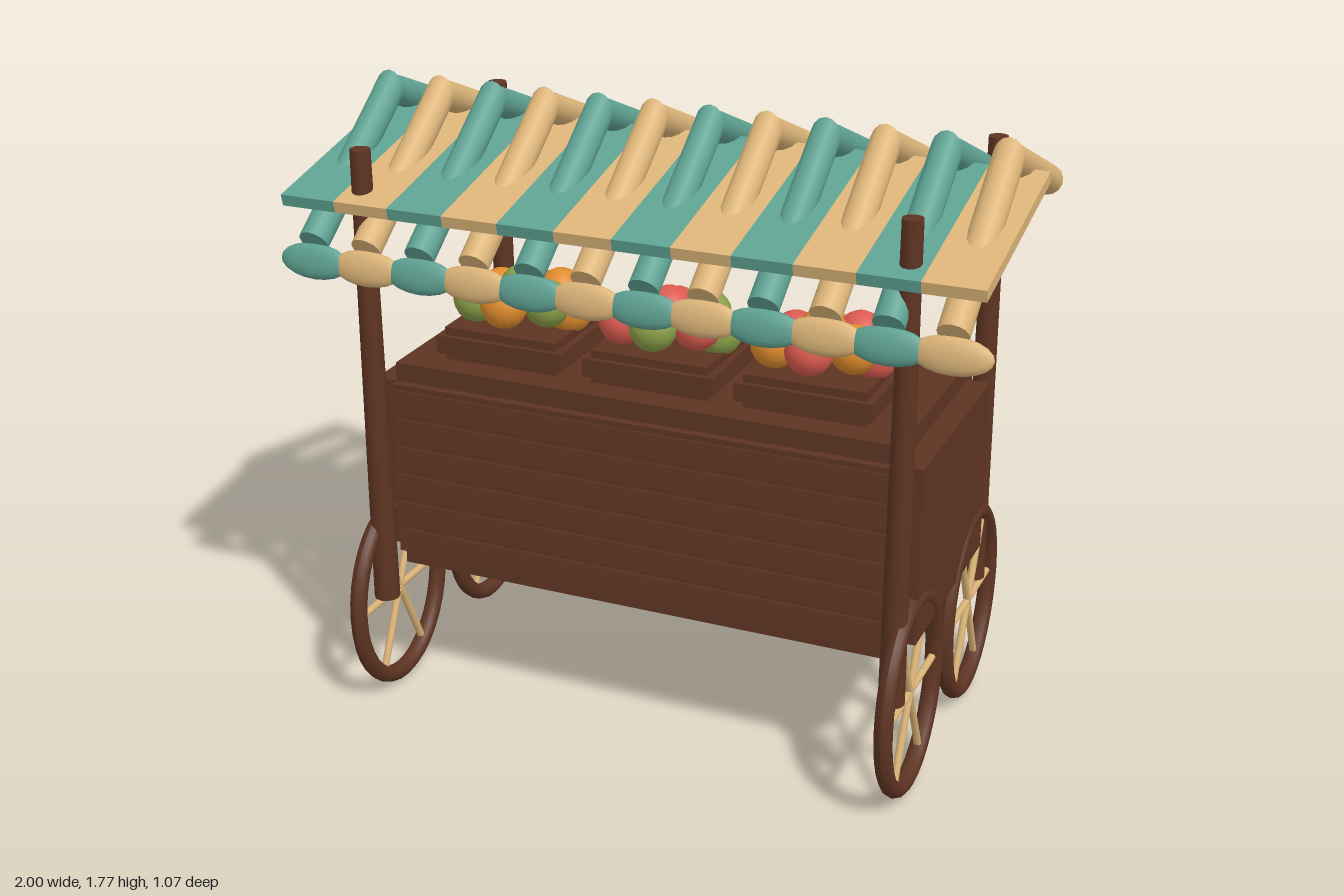
import * as THREE from 'three';

const paint = (name, color) => {
  const m = new THREE.MeshStandardMaterial({ color });
  m.name = name;
  return m;
};

export function createModel() {
  const cart = new THREE.Group();
  cart.name = 'marketCart';
  const wood = paint('darkWood', 0x5e3422);
  const tan = paint('tan', 0xdcb478);
  const teal = paint('teal', 0x5fa292);
  const red = paint('red', 0xdc5a50);
  const orange = paint('orange', 0xdf8c2c);
  const green = paint('green', 0x8a9f48);

  const add = (name, geo, mat, x, y, z, parent = cart) => {
    const m = new THREE.Mesh(geo, mat);
    m.name = name;
    m.position.set(x, y, z);
    parent.add(m);
    return m;
  };
  // box given by its limits on each axis
  const block = (name, [x0, x1], [y0, y1], [z0, z1], mat = wood) =>
    add(name, new THREE.BoxGeometry(x1 - x0, y1 - y0, z1 - z0), mat,
      (x0 + x1) / 2, (y0 + y1) / 2, (z0 + z1) / 2);

  // body with raised panels on every side
  block('body', [-0.738, 0.738], [0.41, 1.035], [-0.325, 0.31]);
  block('backPanel', [-0.735, 0.735], [0.47, 0.98], [-0.38, -0.325]);
  block('frontPanel', [-0.735, 0.735], [0.47, 0.98], [0.31, 0.335]);
  for (let i = 0; i < 6; i++) {
    const y = 0.465 + i * 0.086;
    const plank = block('frontPlank', [-0.735, 0.735], [y, y + 0.068], [0.315, 0.345]);
    plank.rotation.x = -0.1;
  }

  for (const s of [-1, 1]) {
    const side = add('sidePanel', new THREE.BoxGeometry(0.066, 0.51, 0.635), wood, s * 0.769, 0.725, -0.007);
    side.name = s > 0 ? 'leftPanel' : 'rightPanel';
    // corner posts
    for (const z of [0.385, -0.4])
      add('post', new THREE.CylinderGeometry(0.028, 0.037, 1.34, 12), wood, s * 0.765, 1.0, z);
    // oval spoked wheels
    for (const z of [0.284, -0.28]) {
      const wheel = new THREE.Group();
      wheel.name = 'wheel';
      wheel.position.set(s * 0.785, 0.31, z);
      cart.add(wheel);
      const rim = new THREE.TorusGeometry(1, 0.025, 10, 36);
      const p = rim.attributes.position;
      for (let i = 0; i < p.count; i++) {
        const r = Math.hypot(p.getX(i), p.getY(i));
        const c = p.getX(i) / r, t = p.getY(i) / r;
        p.setXYZ(i, p.getZ(i), t * (0.275 + r - 1), -c * (0.229 + r - 1));
      }
      rim.computeVertexNormals();
      add('rim', rim, wood, 0, 0, 0, wheel);
      for (let k = 0; k < 3; k++) {
        const a = (k * Math.PI) / 3;
        const dy = Math.sin(a) * 0.275, dz = Math.cos(a) * 0.229;
        const spoke = add('spoke', new THREE.CylinderGeometry(0.011, 0.011, 2 * Math.hypot(dy, dz), 8), tan, 0, 0, 0, wheel);
        spoke.rotation.x = Math.atan2(dz, dy);
      }
    }
  }

  // trays heaped with two kinds of fruit each
  const heap = [
    [-0.12, 1.19, 0.13], [0, 1.21, 0.195], [0.105, 1.21, 0.14], [0.14, 1.175, 0.07],
    [-0.01, 1.215, 0.06], [0.07, 1.19, -0.02], [-0.03, 1.175, -0.045], [-0.1, 1.18, 0.02],
  ];
  const fruit = new THREE.SphereGeometry(0.067, 14, 10);
  [[-0.45, green, orange], [0, red, green], [0.445, orange, red]].forEach(([x, a, b]) => {
    block('tray', [x - 0.172, x + 0.172], [1.03, 1.13], [-0.095, 0.228]);
    block('trayRim', [x - 0.193, x + 0.193], [1.055, 1.107], [-0.112, 0.243]);
    heap.forEach(([fx, fy, fz], i) => add('fruit', fruit, i % 2 ? b : a, x + fx, fy, fz));
  });

  // awning pole between two points, cut upright where it meets the ridge
  const ridge = new THREE.Vector3(0, 1.732, 0);
  const pole = (end) => {
    const dir = ridge.clone().sub(end);
    const len = dir.length();
    dir.normalize();
    const g = new THREE.CylinderGeometry(0.042, 0.042, len, 14);
    const upper = Array.from({ length: g.attributes.position.count }, (_, i) => g.attributes.position.getY(i) > 0);
    g.applyQuaternion(new THREE.Quaternion().setFromUnitVectors(new THREE.Vector3(0, 1, 0), dir));
    const mid = ridge.clone().add(end).multiplyScalar(0.5);
    g.translate(mid.x, mid.y, mid.z);
    const p = g.attributes.position, v = new THREE.Vector3();
    upper.forEach((isUpper, i) => {
      if (!isUpper) return;
      v.fromBufferAttribute(p, i);
      v.addScaledVector(dir, -v.z / dir.z);
      p.setXYZ(i, v.x, v.y, v.z);
    });
    return g;
  };
  const frontPole = pole(new THREE.Vector3(0, 1.41, 0.44));
  const backPole = pole(new THREE.Vector3(0, 1.545, -0.462));
  const strip = new THREE.BoxGeometry(0.1625, 0.033, 0.6);
  const scallop = new THREE.SphereGeometry(1, 14, 10).rotateZ(Math.PI / 2).scale(0.106, 0.05, 0.022);

  // striped awning, one colour per bay
  for (let i = 0; i < 12; i++) {
    const x = (i - 5.5) * 0.1625;
    const mat = i % 2 ? tan : teal;
    add('awningStripe', strip, mat, x, 1.588, 0.163).rotation.x = 0.22;
    add('frontPole', frontPole, mat, x, 0, 0);
    add('backPole', backPole, mat, x, 0, 0);
    add('scallop', scallop, mat, x, 1.355, 0.44).rotation.x = -0.2;
  }
  return cart;
}
